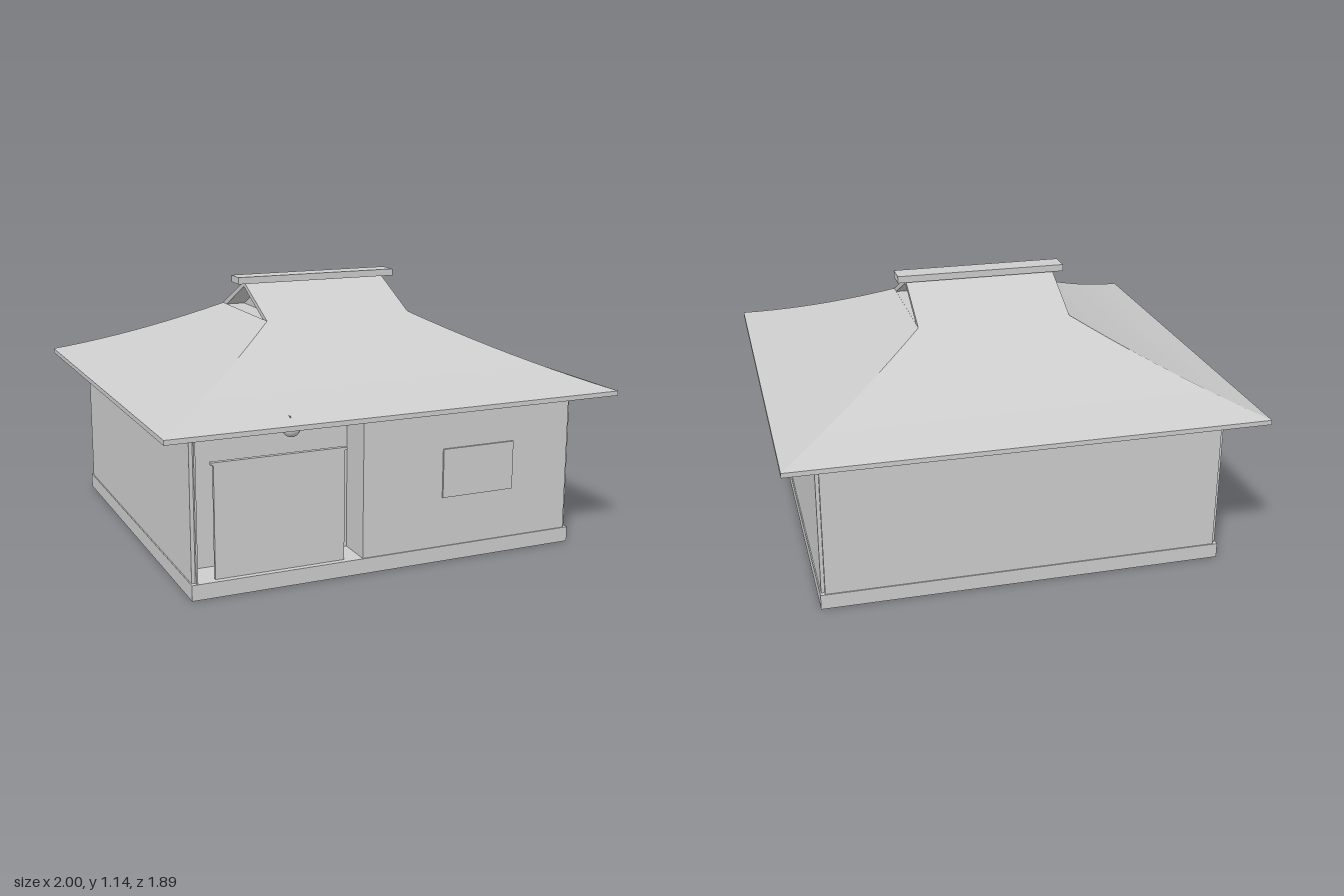
import * as THREE from 'three';

export function createModel() {
  const model = new THREE.Group();
  const plaster = new THREE.MeshStandardMaterial({ color: 0xcccccc });
  plaster.name = 'light grey';

  const add = (name, geometry, parent = model) => {
    const mesh = new THREE.Mesh(geometry, plaster);
    mesh.name = name;
    parent.add(mesh);
    return mesh;
  };
  const group = (name) => {
    const g = new THREE.Group();
    g.name = name;
    model.add(g);
    return g;
  };
  // Box given by its limits on each axis
  const box = (name, x0, x1, y0, y1, z0, z1, parent) => {
    const mesh = add(name, new THREE.BoxGeometry(x1 - x0, y1 - y0, z1 - z0), parent);
    mesh.position.set((x0 + x1) / 2, (y0 + y1) / 2, (z0 + z1) / 2);
    return mesh;
  };

  // Plinth
  box('plinth', -0.865, 0.865, 0, 0.065, -0.815, 0.815);

  // Walls, with notched corners and a shallow entrance recess at the front
  const walls = group('walls');
  const low = 0.065, top = 0.72;
  box('mainWalls', -0.845, 0.845, low, top, -0.81, 0.65, walls);
  box('frontWall', -0.13, 0.845, low, top, 0.65, 0.81, walls);
  box('entranceJamb', -0.845, -0.838, low, top, 0.65, 0.81, walls);
  box('rightSideWall', -0.86, -0.838, low, top, -0.795, 0.795, walls);
  box('leftSideWall', 0.84, 0.86, low, top, -0.795, 0.795, walls);
  box('entranceCeiling', -0.84, -0.13, 0.712, top, 0.65, 0.8, walls);

  // Entrance screen with its top rail, and a wall plate
  const entrance = group('entranceScreen');
  box('screenPanel', -0.76, -0.205, low, 0.532, 0.775, 0.79, entrance);
  box('screenRail', -0.77, -0.195, 0.53, 0.542, 0.773, 0.793, entrance);
  box('wallPlate', 0.235, 0.57, 0.28, 0.49, 0.81, 0.818);

  // Hipped roof: a curve carried round all four sides
  const halfX = 1, halfZ = 0.945, run = 0.664;
  const corners = [[-1, 1], [1, 1], [1, -1], [-1, -1]];
  const loft = (profile, flip = false) => {
    const positions = [], index = [];
    for (let side = 0; side < 4; side++) {
      const start = positions.length / 3;
      profile.forEach(([inset, y], i) => {
        for (const [sx, sz] of [corners[side], corners[(side + 1) % 4]]) {
          positions.push(sx * (halfX - inset), y, sz * (halfZ - inset));
        }
        if (i === 0) return;
        const a = start + 2 * (i - 1), b = a + 1, c = a + 2, d = a + 3;
        if (flip) index.push(a, d, b, a, c, d);
        else index.push(a, b, d, a, d, c);
      });
    }
    const geometry = new THREE.BufferGeometry();
    geometry.setAttribute('position', new THREE.Float32BufferAttribute(positions, 3));
    geometry.setIndex(index);
    geometry.computeVertexNormals();
    return geometry;
  };
  const curve = [];
  for (let i = 0; i <= 10; i++) {
    const d = (run * i) / 10;
    curve.push([d, 0.695 + 0.33 * d + 0.152 * d * d]);
  }
  const roof = group('roof');
  add('roofSlopes', loft(curve), roof);
  add('eaveEdge', loft([[0, 0.675], [0, 0.695]]), roof);
  add('roofUnderside', loft(curve.map(([d, y]) => [d, y - 0.02]), true), roof);

  // Small gable on top, its end walls set back under the slopes
  box('gableLedge', -0.335, 0.335, 0.962, 0.98, -0.28, 0.28, roof);
  const prism = (points, halfLength) => {
    const shape = new THREE.Shape(points.map(([z, y]) => new THREE.Vector2(z, y)));
    const geometry = new THREE.ExtrudeGeometry(shape, { depth: halfLength * 2, bevelEnabled: false });
    return geometry.translate(0, 0, -halfLength).rotateY(Math.PI / 2);
  };
  add('gableSlopes', prism([
    [0.283, 0.98], [0, 1.115], [-0.283, 0.98], [-0.233, 0.98], [0, 1.092], [0.233, 0.98],
  ], 0.336), roof);
  add('gableWalls', prism([[0.235, 0.978], [0, 1.094], [-0.235, 0.978]], 0.25), roof);
  box('ridgeCap', -0.377, 0.377, 1.11, 1.14, -0.048, 0.048, roof);

  // Bell under the eave, with its hanging strap
  const bell = group('bell');
  add('bellBall', new THREE.SphereGeometry(0.035, 24, 16), bell).position.set(-0.48, 0.675, 0.895);
  box('bellStrap', -0.482, -0.478, 0.67, 0.72, 0.865, 0.89, bell);

  return model;
}
